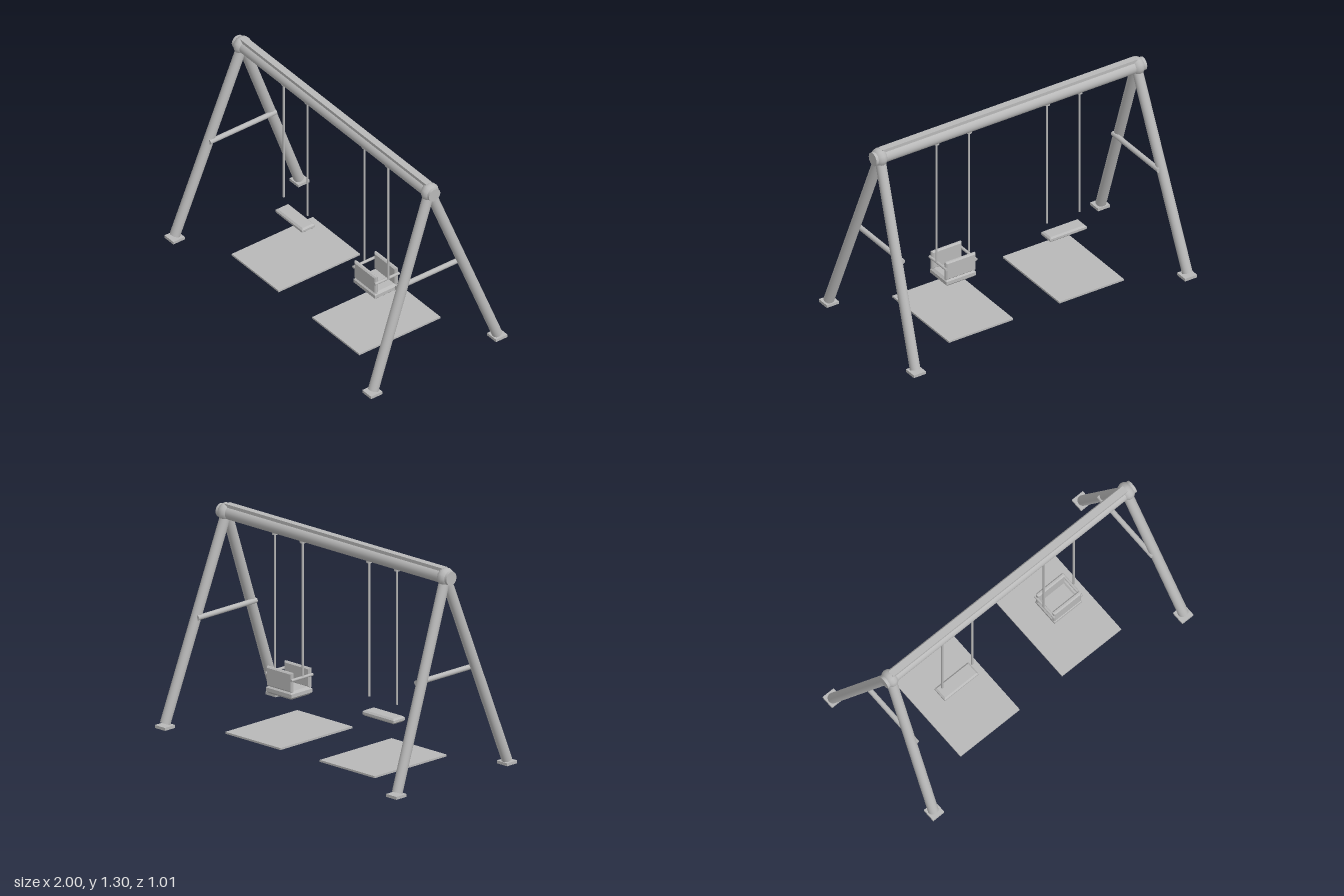
import * as THREE from 'three';

const grey = new THREE.MeshStandardMaterial({ color: 0xb8b8b8 });
grey.name = 'plain grey';

function add(parent, name, geometry, x = 0, y = 0, z = 0) {
  const mesh = new THREE.Mesh(geometry, grey);
  mesh.name = name;
  mesh.position.set(x, y, z);
  parent.add(mesh);
  return mesh;
}

// Round bar between two points
function bar(parent, name, a, b, radius, sides = 24) {
  const from = new THREE.Vector3(...a), to = new THREE.Vector3(...b);
  const dir = to.clone().sub(from);
  const mesh = add(parent, name, new THREE.CylinderGeometry(radius, radius, dir.length(), sides));
  mesh.position.copy(from).add(to).multiplyScalar(0.5);
  mesh.quaternion.setFromUnitVectors(new THREE.Vector3(0, 1, 0), dir.normalize());
  return mesh;
}

// Block with chamfered edges, centred; w, h lie in the xy plane, d along z
function chamferedBlock(w, h, d, c) {
  const x = w / 2 - c, y = h / 2 - c;
  const shape = new THREE.Shape([
    new THREE.Vector2(-x, -y), new THREE.Vector2(x, -y),
    new THREE.Vector2(x, y), new THREE.Vector2(-x, y),
  ]);
  return new THREE.ExtrudeGeometry(shape, {
    depth: d - 2 * c, bevelEnabled: true, bevelSize: c, bevelThickness: c, bevelSegments: 1,
  }).translate(0, 0, c - d / 2);
}

export function createModel() {
  const model = new THREE.Group();
  model.name = 'swingSet';
  const beamY = 1.24;

  // Top beam with a flat strip along its upper side
  bar(model, 'topBeam', [-0.955, beamY, 0], [0.955, beamY, 0], 0.042);
  add(model, 'beamStrip', new THREE.BoxGeometry(1.8, 0.025, 0.044), 0, 1.283, 0);

  // A-frames: joint, two splayed legs with feet, cross bar
  for (const side of [-1, 1]) {
    const frame = new THREE.Group();
    frame.name = side > 0 ? 'leftFrame' : 'rightFrame';
    model.add(frame);
    const joint = new THREE.SphereGeometry(0.058, 12, 10).rotateZ(Math.PI / 2);
    add(frame, 'joint', joint, side * 0.908, beamY, 0).scale.x = 0.78;
    for (const end of [-1, 1]) {
      bar(frame, 'leg', [side * 0.905, beamY, 0], [side * 0.96, 0.025, end * 0.458], 0.032);
      add(frame, 'foot', new THREE.BoxGeometry(0.085, 0.018, 0.085), side * 0.957, 0.009, end * 0.462);
    }
    bar(frame, 'crossBar', [side * 0.905, 0.64, -0.245], [side * 0.905, 0.64, 0.245], 0.016, 16);
  }

  // Hanging ropes and ground mats, one set per swing
  for (const side of [-1, 1]) {
    const cx = side * 0.39;
    for (const offset of [-0.115, 0.115]) {
      bar(model, 'rope', [cx + offset, 0.365, 0], [cx + offset, 1.2, 0], 0.0065, 10);
      add(model, 'hanger', new THREE.CylinderGeometry(0.018, 0.018, 0.018, 14), cx + offset, 1.198, 0);
    }
    add(model, 'mat', new THREE.BoxGeometry(0.455, 0.012, 0.6), cx, 0.009, 0);
  }

  // Plain board seat
  add(model, 'boardSeat', chamferedBlock(0.26, 0.096, 0.034, 0.01).rotateX(-Math.PI / 2), -0.395, 0.271, 0);

  // Toddler seat: base, front and back panels, side rails
  const toddler = new THREE.Group();
  toddler.name = 'toddlerSeat';
  toddler.position.x = 0.388;
  model.add(toddler);
  add(toddler, 'seatBase', chamferedBlock(0.21, 0.176, 0.05, 0.014).rotateX(-Math.PI / 2), 0, 0.258, 0);
  for (const end of [-1, 1]) {
    add(toddler, 'seatPanel', chamferedBlock(0.21, 0.12, 0.026, 0.008), 0, 0.339, end * 0.074);
    bar(toddler, 'sideRail', [end * 0.105, 0.356, -0.09], [end * 0.105, 0.356, 0.09], 0.009, 12);
  }
  return model;
}
